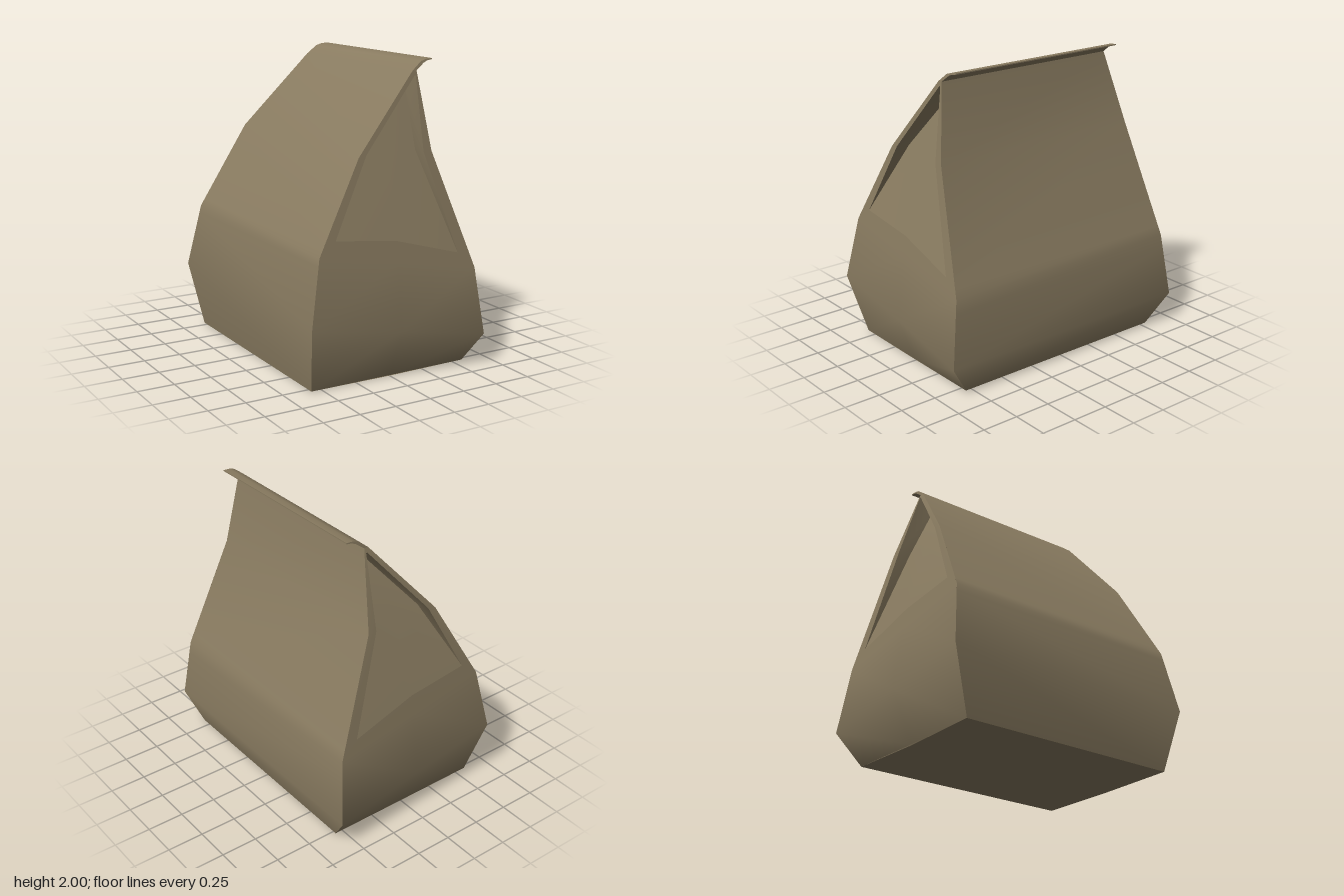
import * as THREE from 'three';

const paper = new THREE.MeshStandardMaterial({ color: 0x8a7c61, side: THREE.DoubleSide });
paper.name = 'brown paper';

// Smooth surface through rows of points
function loft(name, rows) {
  const n = rows[0].length, index = [];
  for (let i = 0; i < rows.length - 1; i++) {
    for (let j = 0; j < n - 1; j++) {
      const a = i * n + j, b = a + 1, c = a + n, d = c + 1;
      index.push(a, b, d, a, d, c);
    }
  }
  const geometry = new THREE.BufferGeometry();
  geometry.setAttribute('position', new THREE.Float32BufferAttribute(rows.flat(2), 3));
  geometry.setIndex(index);
  geometry.computeVertexNormals();
  const mesh = new THREE.Mesh(geometry, paper);
  mesh.name = name;
  return mesh;
}

// Half depth of the bag at a height, for either end
function endZ(y, side) {
  const pts = side > 0
    ? [[0, 0.795], [0.22, 0.945], [1.93, 0.71], [2, 0.695]]
    : [[0, 0.775], [0.22, 0.942], [1.43, 0.772], [1.93, 0.625], [2, 0.615]];
  let i = 0;
  while (i < pts.length - 2 && y > pts[i + 1][0]) i++;
  const [a, b] = [pts[i], pts[i + 1]];
  return side * THREE.MathUtils.mapLinear(y, a[0], b[0], a[1], b[1]);
}
const atEnd = (side, [x, y]) => [x, y, endZ(y, side)];

// Side profiles, bottom to top; close pairs keep the creases tight
const rightProfile = [[-0.575, 0.005], [-0.635, 0.43], [-0.56, 0.81], [-0.55, 0.86], [-0.522, 0.91],
  [-0.23, 1.43], [0.2, 1.93]];
const leftProfile = [[0.56, 0.01], [0.63, 0.22], [0.594, 0.57], [0.585, 0.66], [0.561, 0.725],
  [0.305, 1.43], [0.23, 1.93]];
const lipTop = [[0.2, 1.93], [0.27, 1.985], [0.31, 1.997], [0.355, 2]];
const lipUnder = [[0.23, 1.93], [0.29, 1.975], [0.32, 1.988], [0.355, 1.993]];

function createEnd(side) {
  const end = new THREE.Group();
  end.name = side > 0 ? 'frontEnd' : 'backEnd';
  const p = (x, y, inset = 0) => [x, y, endZ(y, side) - side * inset];

  // Bulging lower panel
  end.add(loft('lowerPanel', [
    [p(-0.575, 0.005), p(0, 0.005), p(0.56, 0.01)],
    [[-0.635, 0.43, endZ(0.43, side)], [0, 0.33, side * 0.925], p(0.63, 0.22)],
    [p(-0.55, 0.86), p(0, 0.76), p(0.585, 0.66)],
    [p(-0.43, 0.95), p(0, 0.9), p(0.46, 0.77)],
  ]));

  // Tucked-in gusset panel
  const tuckRight = [p(-0.43, 0.95), p(-0.155, 1.44, 0.08), p(0.213, 1.88, 0.14)];
  const tuckLeft = [p(0.46, 0.77), p(0.236, 1.43, 0.08), p(0.221, 1.88, 0.14)];
  end.add(loft('gussetPanel', [
    [tuckRight[0], p(0, 0.9), tuckLeft[0]],
    [tuckRight[1], p(0.04, 1.435, 0.08), tuckLeft[1]],
    [tuckRight[2], p(0.217, 1.88, 0.14), tuckLeft[2]],
  ]));

  // Narrow folded borders and the walls running in to the gusset
  const foldRight = [p(-0.43, 0.95), p(-0.175, 1.44), p(0.213, 1.9)];
  const foldLeft = [p(0.46, 0.77), p(0.245, 1.43), p(0.222, 1.9)];
  const edgeRight = [p(-0.55, 0.86), p(-0.23, 1.43), p(0.2, 1.93)];
  const edgeLeft = [p(0.585, 0.66), p(0.305, 1.43), p(0.23, 1.93)];
  end.add(loft('rightBorder', [edgeRight, foldRight]));
  end.add(loft('leftBorder', [edgeLeft, foldLeft]));
  end.add(loft('rightGussetWall', [foldRight, tuckRight]));
  end.add(loft('leftGussetWall', [foldLeft, tuckLeft]));
  end.add(loft('topSeam', [[edgeRight[2], edgeLeft[2]], [foldRight[2], foldLeft[2]]]));
  end.add(loft('lipEnd', [lipTop.map(q => atEnd(side, q)), lipUnder.map(q => atEnd(side, q))]));
  return end;
}

export function createModel() {
  const bag = new THREE.Group();
  bag.name = 'paperBag';

  // Full-depth sheets
  const sheet = (name, profile) => bag.add(loft(name, profile.map(q => [atEnd(1, q), atEnd(-1, q)])));
  sheet('rightSheet', rightProfile.concat(lipTop.slice(1)));
  sheet('leftSheet', leftProfile);
  sheet('lipUnderside', lipUnder);
  sheet('lipEdge', [lipTop[3], lipUnder[3]]);
  sheet('base', [[-0.575, 0.005], [0, 0], [0.56, 0.01]]);

  // Gusseted ends
  for (const side of [1, -1]) bag.add(createEnd(side));
  return bag;
}
